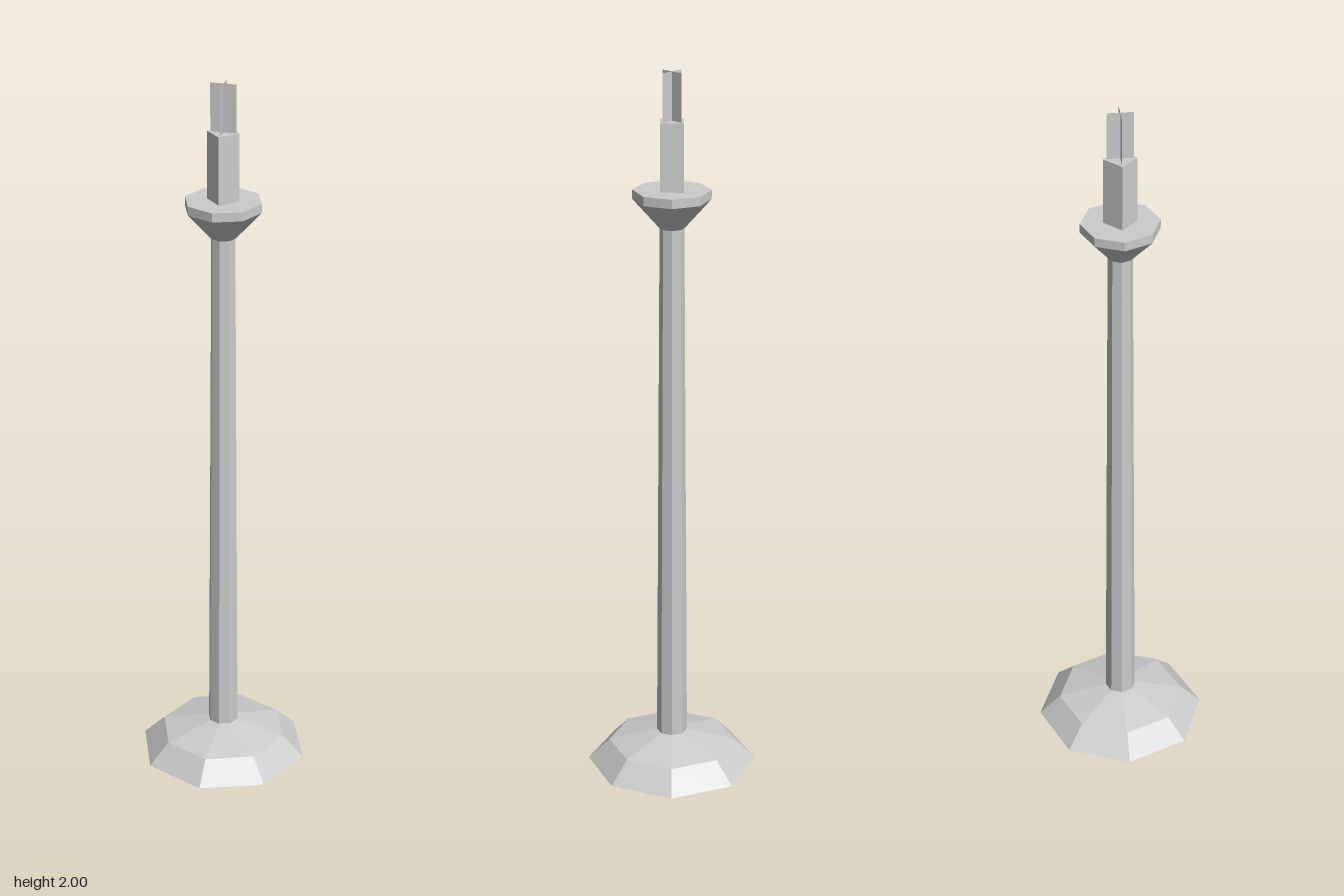
import * as THREE from 'three';

export function createModel() {
  const model = new THREE.Group();
  const grey = new THREE.MeshStandardMaterial({ color: 0xcccccc, flatShading: true });
  grey.name = 'paleGrey';
  const greySheet = new THREE.MeshStandardMaterial({ color: 0xcccccc, side: THREE.DoubleSide });
  greySheet.name = 'paleGreySheet';

  // Faceted turned part from [radius, height] pairs, listed bottom to top
  const turned = (name, sides, profile) => {
    const points = profile.map(([r, y]) => new THREE.Vector2(r, y));
    const mesh = new THREE.Mesh(new THREE.LatheGeometry(points, sides), grey);
    mesh.name = name;
    model.add(mesh);
  };

  // Stepped octagonal foot
  turned('base', 8, [[0, 0], [0.24, 0], [0.18, 0.06], [0.04, 0.095], [0, 0.095]]);
  // Slightly tapering pole
  turned('pole', 8, [[0.043, 0.09], [0.033, 1.59]]);
  // Flared drip tray
  turned('tray', 8, [[0, 1.582], [0.035, 1.582], [0.105, 1.66], [0.105, 1.685], [0, 1.685]]);
  // Four-sided candle
  turned('candle', 4, [[0.044, 1.685], [0.044, 1.87], [0, 1.87]]);

  // Flame made of two crossed sheets
  const flame = new THREE.Group();
  flame.name = 'flame';
  for (const angle of [0, Math.PI / 2]) {
    const sheet = new THREE.Mesh(new THREE.PlaneGeometry(0.07, 0.13), greySheet);
    sheet.name = 'flameSheet';
    sheet.position.y = 1.935;
    sheet.rotation.y = angle;
    flame.add(sheet);
  }
  model.add(flame);

  return model;
}
